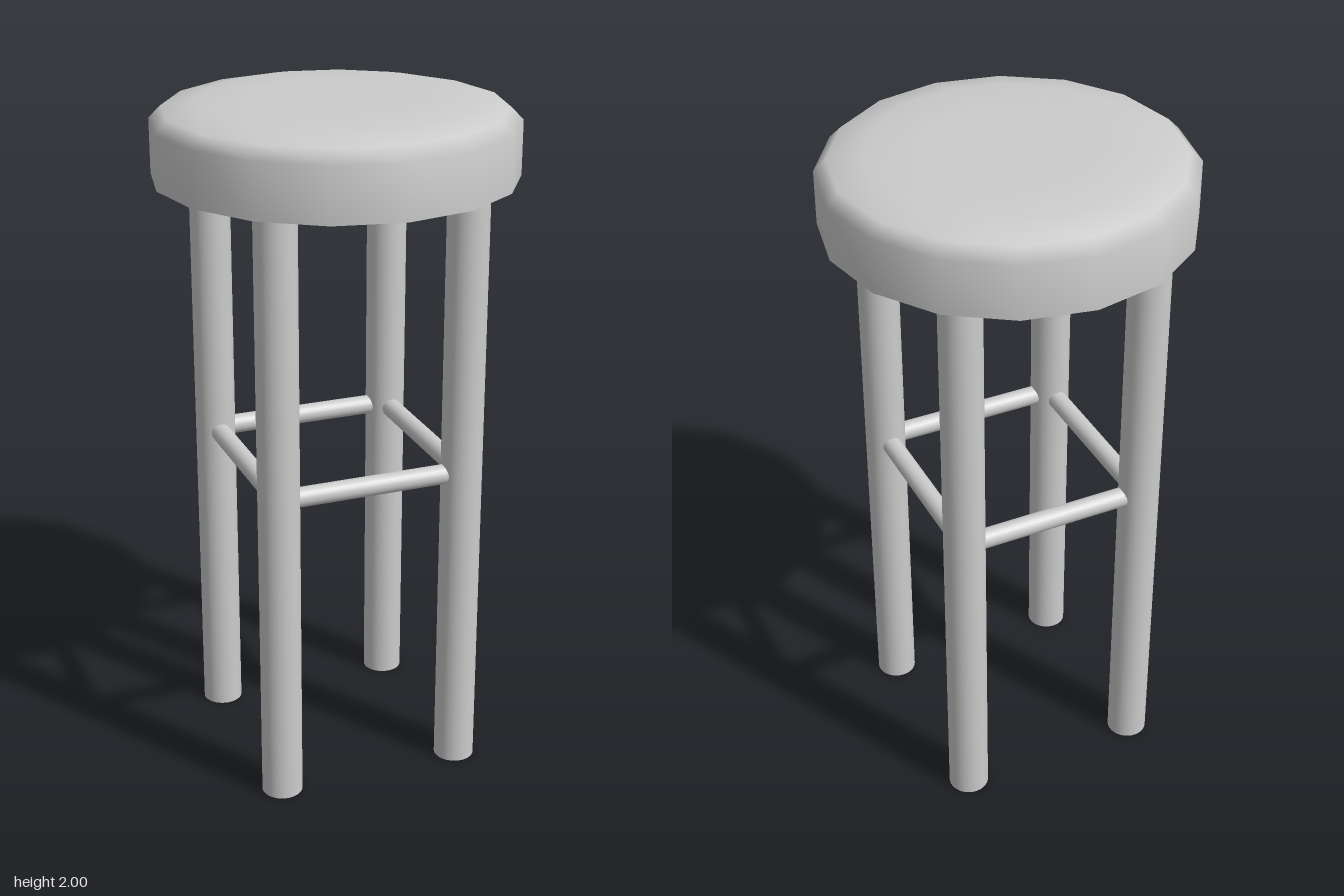
import * as THREE from 'three';

const CX = -0.003, CZ = 0.003; // centre of the leg frame
const DX = 0.28, DZ = 0.289;   // half spacing of the legs
const SEAT_BOTTOM = 1.78, RUNG_Y = 0.945;

export function createModel() {
  const group = new THREE.Group();
  group.name = 'barStool';
  const grey = new THREE.MeshStandardMaterial({ color: 0xcccccc });
  grey.name = 'light grey';

  const add = (name, geometry, x, y, z) => {
    const mesh = new THREE.Mesh(geometry, grey);
    mesh.name = name;
    mesh.position.set(x, y, z);
    group.add(mesh);
    return mesh;
  };

  // Sixteen-sided cushion with a softly rounded upper edge
  const profile = [
    [0.52, SEAT_BOTTOM], [0.52, 1.937], [0.485, 1.972],
    [0.39, 1.993], [0.25, 2], [0, 2],
  ].map(([r, y]) => new THREE.Vector2(r, y));
  add('seat', new THREE.LatheGeometry(profile, 16), 0, 0, 0);

  // Flat underside, kept separate for a sharp lower edge
  const underside = new THREE.CircleGeometry(0.52, 16).rotateX(Math.PI / 2);
  add('seatUnderside', underside, 0, SEAT_BOTTOM, 0);

  // Four straight round legs
  const leg = new THREE.CylinderGeometry(0.06, 0.06, SEAT_BOTTOM, 32);
  for (const sx of [-1, 1]) {
    for (const sz of [-1, 1]) {
      add(`${sz > 0 ? 'front' : 'back'}${sx > 0 ? 'Left' : 'Right'}Leg`,
        leg, CX + sx * DX, SEAT_BOTTOM / 2, CZ + sz * DZ);
    }
  }

  // Four rungs joining neighbouring legs
  const rung = (length) => new THREE.CylinderGeometry(0.029, 0.029, length, 24);
  const across = rung(2 * DX - 0.08).rotateZ(Math.PI / 2);
  const along = rung(2 * DZ - 0.08).rotateX(Math.PI / 2);
  for (const s of [-1, 1]) {
    add(s > 0 ? 'frontRung' : 'backRung', across, CX, RUNG_Y, CZ + s * DZ);
    add(s > 0 ? 'leftRung' : 'rightRung', along, CX + s * DX, RUNG_Y, CZ);
  }
  return group;
}
